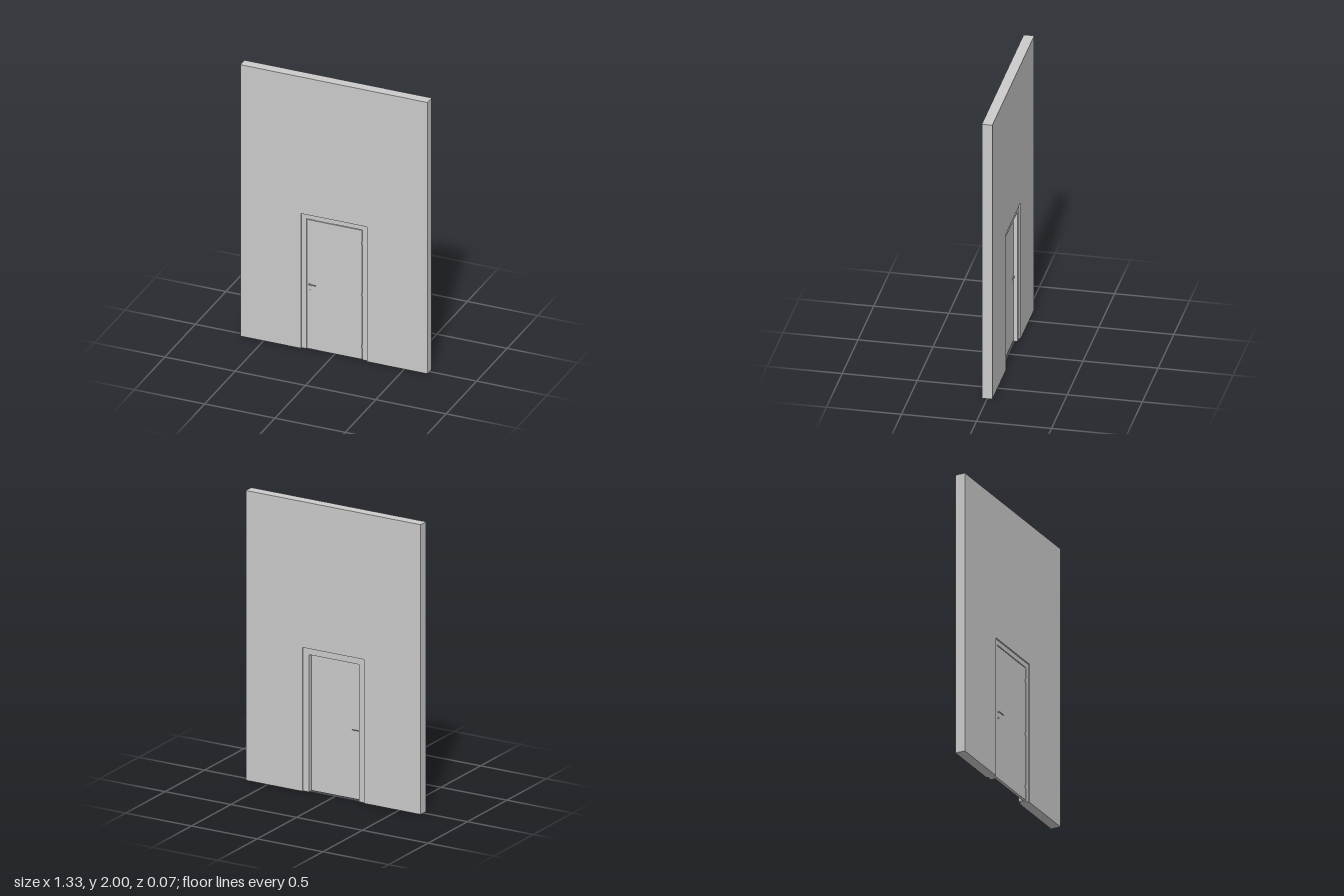
import * as THREE from 'three';

const material = new THREE.MeshStandardMaterial({ color: 0xcccccc });

function add(parent, name, geometry, x = 0, y = 0, z = 0) {
  const mesh = new THREE.Mesh(geometry, material);
  mesh.name = name;
  mesh.position.set(x, y, z);
  parent.add(mesh);
  return mesh;
}

// Upright panel with a doorway open at the floor, between two depths
function archway(halfOuter, outerTop, halfInner, innerTop, zBack, zFront) {
  const points = [
    [-halfOuter, 0], [-halfInner, 0], [-halfInner, innerTop], [halfInner, innerTop],
    [halfInner, 0], [halfOuter, 0], [halfOuter, outerTop], [-halfOuter, outerTop],
  ].map(([x, y]) => new THREE.Vector2(x, y));
  const geometry = new THREE.ExtrudeGeometry(new THREE.Shape(points), {
    depth: zFront - zBack, bevelEnabled: false,
  });
  return geometry.translate(0, 0, zBack);
}

// Lever, its rosette and the lock rosette; local z points away from the leaf
function handleSet(name, mirror) {
  const group = new THREE.Group();
  group.name = name;
  const disc = (r, depth) => new THREE.CylinderGeometry(r, r, depth, 20).rotateX(Math.PI / 2);
  add(group, 'leverRosette', disc(0.008, 0.003), 0, 0, 0.0015);
  add(group, 'lockRosette', disc(0.007, 0.003), 0, -0.042, 0.0015);
  add(group, 'lockCylinder', disc(0.003, 0.004), 0, -0.042, 0.002);
  const s = mirror ? -1 : 1;
  const path = new THREE.CurvePath();
  const a = new THREE.Vector3(0, 0, 0);
  const b = new THREE.Vector3(0, 0, 0.005);
  const corner = new THREE.Vector3(0, 0, 0.009);
  const c = new THREE.Vector3(0.004 * s, 0, 0.009);
  const d = new THREE.Vector3(0.048 * s, 0, 0.009);
  path.add(new THREE.LineCurve3(a, b));
  path.add(new THREE.QuadraticBezierCurve3(b, corner, c));
  path.add(new THREE.LineCurve3(c, d));
  add(group, 'lever', new THREE.TubeGeometry(path, 32, 0.0035, 10, false));
  add(group, 'leverTip', new THREE.SphereGeometry(0.0035, 10, 8), d.x, d.y, d.z);
  return group;
}

export function createModel() {
  const model = new THREE.Group();
  model.name = 'wallWithDoor';

  // Wall, thicker than the frame set into it
  add(model, 'wall', archway(0.665, 2, 0.235, 0.993, -0.035, 0.035));

  // Frame: wide rebate at the front for the leaf, narrower stop behind it
  const frame = new THREE.Group();
  frame.name = 'doorFrame';
  add(frame, 'frameRebate', archway(0.235, 0.993, 0.2, 0.958, 0.004, 0.025));
  add(frame, 'frameStop', archway(0.235, 0.993, 0.19, 0.948, -0.025, 0.004));
  model.add(frame);

  // Door leaf with a narrow gap around it
  const door = new THREE.Group();
  door.name = 'door';
  add(door, 'doorLeaf', new THREE.BoxGeometry(0.391, 0.95, 0.02), 0, 0.478, 0.014);

  // Hinge knuckles in the gap
  for (const y of [0.1, 0.48, 0.86]) {
    add(door, 'hinge', new THREE.CylinderGeometry(0.004, 0.004, 0.024, 12), 0.197, y, 0.023);
  }

  // Handles on both faces
  const front = handleSet('frontHandle', false);
  front.position.set(-0.178, 0.48, 0.024);
  const back = handleSet('backHandle', true);
  back.position.set(-0.178, 0.48, 0.004);
  back.rotation.y = Math.PI;
  door.add(front, back);
  model.add(door);

  return model;
}
